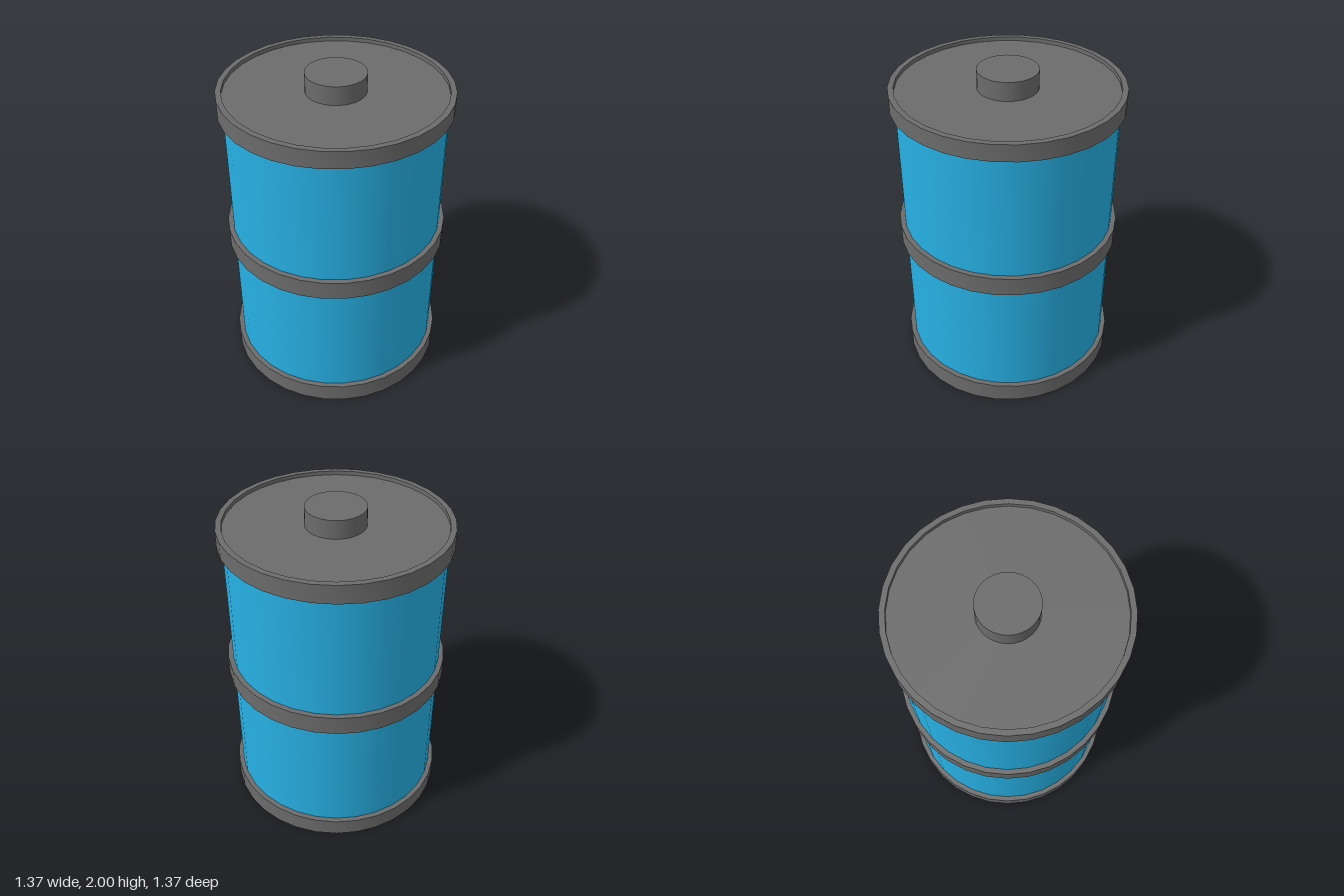
import * as THREE from 'three';
import { toCreasedNormals } from 'three/addons/utils/BufferGeometryUtils.js';

const SIDES = 32;
const BODY_R = 0.653;
const HOOP_R = 0.684;

export function createModel() {
  const barrel = new THREE.Group();
  barrel.name = 'barrel';
  const blue = new THREE.MeshStandardMaterial({ color: 0x27b0e4 });
  const grey = new THREE.MeshStandardMaterial({ color: 0x6c6c6c });

  const add = (name, geometry, material, y = 0) => {
    const mesh = new THREE.Mesh(geometry, material);
    mesh.name = name;
    mesh.position.y = y;
    barrel.add(mesh);
  };

  // Square-section band; the edges against the body lean slightly to one side
  const hoop = (name, bottom, top, tiltBottom, tiltTop) => {
    const inner = BODY_R - 0.003;
    const profile = [[inner, bottom], [HOOP_R, bottom], [HOOP_R, top], [inner, top], [inner, bottom]]
      .map(([r, y]) => new THREE.Vector2(r, y));
    const geometry = new THREE.LatheGeometry(profile, SIDES);
    const p = geometry.attributes.position;
    const middle = (bottom + top) / 2;
    for (let i = 0; i < p.count; i++) {
      const y = p.getY(i);
      if (y > middle ? tiltTop : tiltBottom) {
        p.setY(i, y + 0.011 * p.getX(i) + 0.008 * p.getZ(i));
      }
    }
    add(name, toCreasedNormals(geometry, Math.PI / 6), grey);
  };

  // Drum wall, reaching under the end hoops
  add('body', new THREE.CylinderGeometry(BODY_R, BODY_R, 1.8, SIDES, 1, true), blue, 0.96);

  hoop('bottomHoop', 0, 0.117, false, true);
  hoop('middleHoop', 0.897, 1.017, true, true);
  hoop('topHoop', 1.8, 1.91, true, false);

  // End plates, sunk a little inside the hoops
  add('lid', new THREE.CylinderGeometry(BODY_R, BODY_R, 0.04, SIDES), grey, 1.865);
  add('base', new THREE.CylinderGeometry(BODY_R, BODY_R, 0.04, SIDES), grey, 0.045);

  // Filler cap standing on the lid
  add('cap', new THREE.CylinderGeometry(0.18, 0.18, 0.13, SIDES), grey, 1.935);

  return barrel;
}
